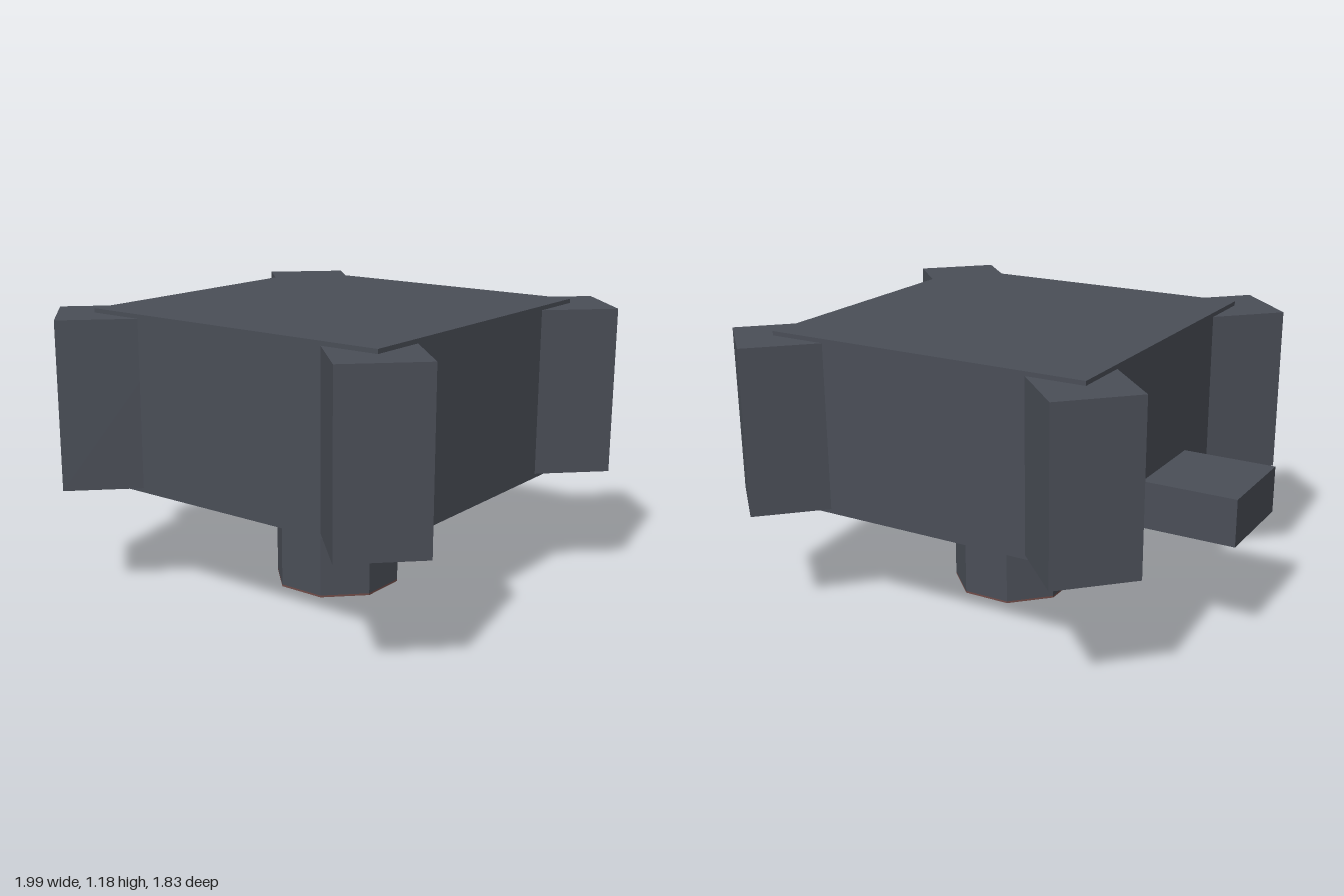
import * as THREE from 'three';

export function createModel() {
  const model = new THREE.Group();
  const slate = new THREE.MeshStandardMaterial({ color: 0x4a4e57 });
  slate.name = 'slate grey';
  const rust = new THREE.MeshStandardMaterial({ color: 0x704c48 });
  rust.name = 'rust brown';

  const CX = 0.08; // body axis

  function add(name, geometry, material, x, y, z, turn = 0) {
    const mesh = new THREE.Mesh(geometry, material);
    mesh.name = name;
    mesh.position.set(x, y, z);
    mesh.rotation.y = turn;
    model.add(mesh);
    return mesh;
  }

  // Octagonal prism with flat sides facing the axes
  function octagon(height) {
    const g = new THREE.CylinderGeometry(0.265, 0.265, height, 8).toNonIndexed();
    g.rotateY(Math.PI / 8);
    g.computeVertexNormals();
    return g;
  }

  // Square main block
  add('body', new THREE.BoxGeometry(1.38, 0.72, 1.38), slate, CX, 0.817, 0);

  // Diagonal buttresses at the four corners
  const length = 0.5, width = 0.342;
  const reach = (0.797 + 0.79) / Math.SQRT2 - length / 2;
  for (const sx of [1, -1]) {
    for (const sz of [1, -1]) {
      add('cornerPost', new THREE.BoxGeometry(length, 0.685, width), slate,
        CX + sx * reach / Math.SQRT2, 0.817, sz * reach / Math.SQRT2, -sx * sz * Math.PI / 4);
    }
  }

  // Low block on the right side
  add('sideBlock', new THREE.BoxGeometry(0.41, 0.193, 0.41), slate, -0.795, 0.5535, 0);

  // Central foot and its coloured end plate
  add('pillar', octagon(0.46), slate, CX, 0.238, 0);
  add('pillarEnd', octagon(0.008), rust, CX, 0.004, 0);

  return model;
}
